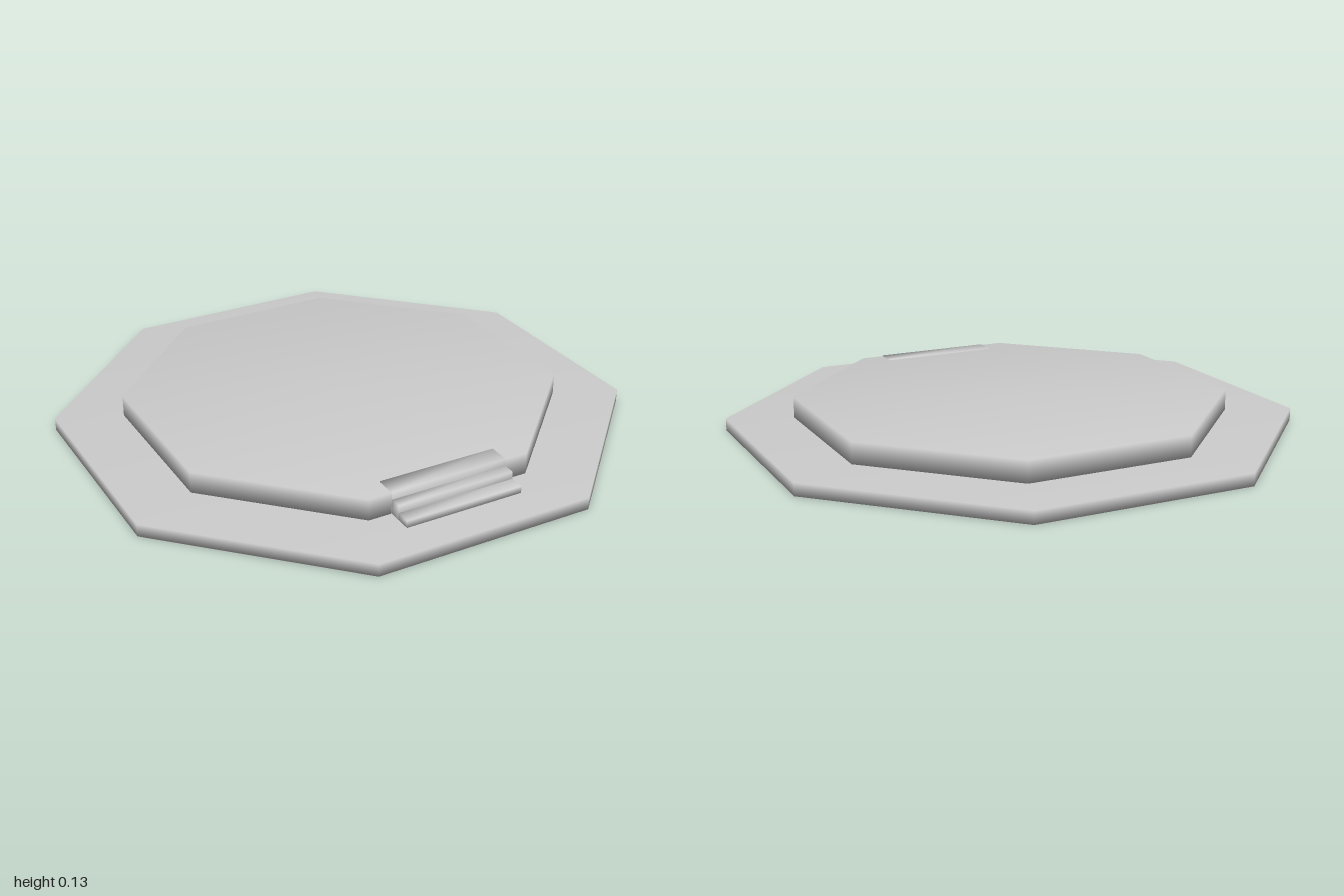
import * as THREE from 'three';
import { mergeVertices } from 'three/addons/utils/BufferGeometryUtils.js';

const material = new THREE.MeshStandardMaterial({ color: 0xcccccc });

// Share corner vertices so the shading blends across every edge
function smoothMesh(geometry, name) {
  geometry.deleteAttribute('uv');
  geometry.deleteAttribute('normal');
  const merged = mergeVertices(geometry, 1e-4);
  merged.computeVertexNormals();
  const mesh = new THREE.Mesh(merged, material);
  mesh.name = name;
  return mesh;
}

// Octagonal slab with flat sides on the axes; apothem is centre to flat side
function octagonSlab(name, apothem, bottom, top) {
  const radius = apothem / Math.cos(Math.PI / 8);
  const geometry = new THREE.CylinderGeometry(radius, radius, top - bottom, 8, 1, false, Math.PI / 8);
  geometry.translate(0, (top + bottom) / 2, 0);
  return smoothMesh(geometry, name);
}

export function createModel() {
  const group = new THREE.Group();
  group.name = 'octagonalPlatform';

  // Wide base and raised deck
  group.add(octagonSlab('base', 1, 0, 0.047));
  group.add(octagonSlab('deck', 0.763, 0.047, 0.128));

  // Stairs climbing from the front of the base onto the deck
  const stairs = new THREE.Group();
  stairs.name = 'stairs';
  const bottom = 0.045;
  [
    { back: 0.8, front: 0.863, top: 0.074 },
    { back: 0.75, front: 0.808, top: 0.102 },
    { back: 0.683, front: 0.764, top: 0.131 },
  ].forEach(({ back, front, top }, i) => {
    const geometry = new THREE.BoxGeometry(0.456, top - bottom, front - back);
    geometry.translate(0, (top + bottom) / 2, (front + back) / 2);
    stairs.add(smoothMesh(geometry, `step${i + 1}`));
  });
  group.add(stairs);

  return group;
}
